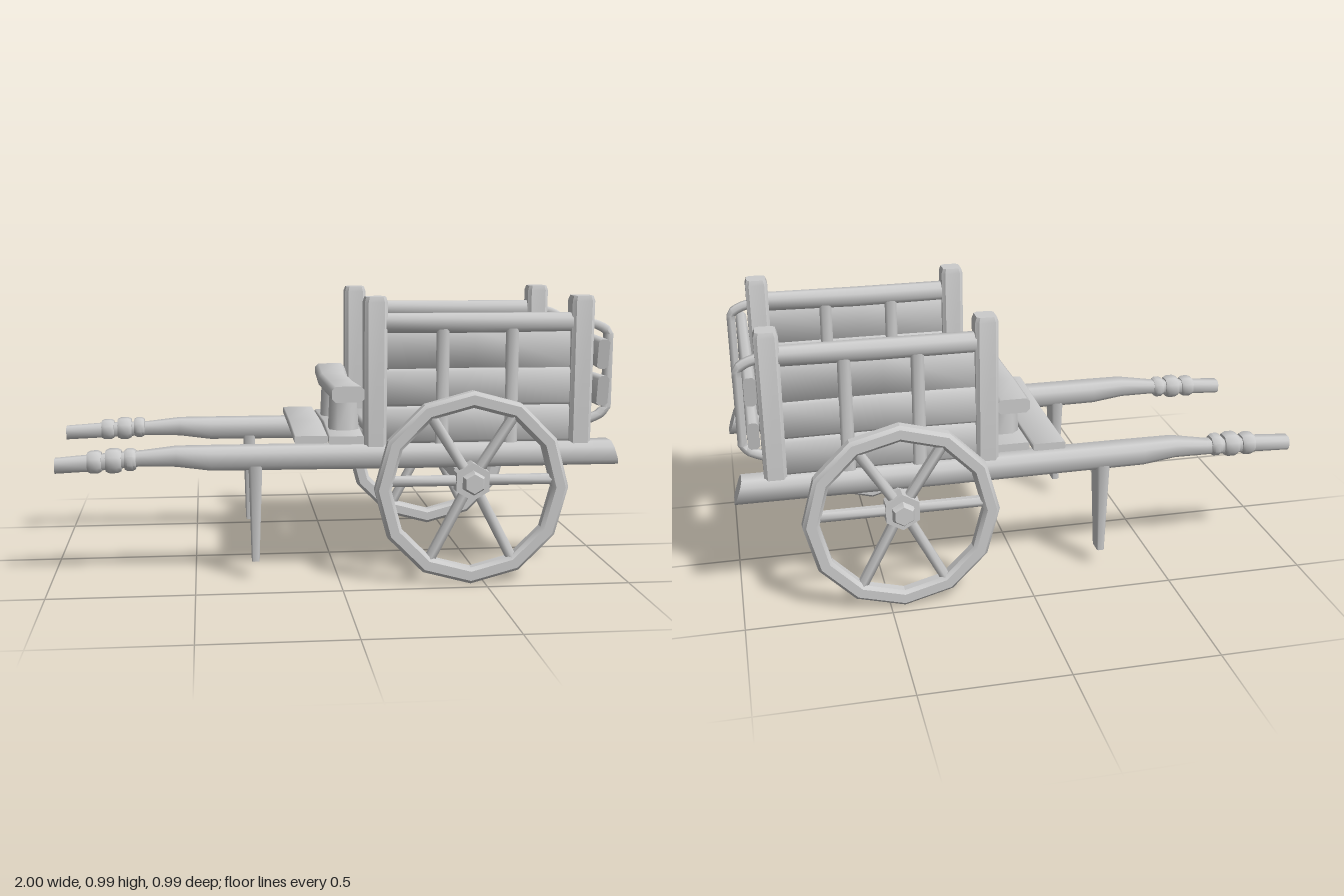
import * as THREE from 'three';
import { toCreasedNormals } from 'three/addons/utils/BufferGeometryUtils.js';

const material = new THREE.MeshStandardMaterial({ color: 0xcccccc, roughness: 0.9 });
const AXES = { x: [0, 1, 2], y: [1, 2, 0], z: [2, 0, 1] };

function add(parent, name, geometry, crease = 0.9) {
  const mesh = new THREE.Mesh(toCreasedNormals(geometry, crease), material);
  mesh.name = name;
  parent.add(mesh);
  return mesh;
}

// Timber with a chamfered section lofted along an axis.
// Station: [t, u, v, halfU, halfV, slant]; (t,u,v) is the cyclic order of the axes.
function timber(axis, stations, chamfer = 0.3) {
  const [T, U, V] = AXES[axis], pos = [], idx = [];
  const k = 1 - chamfer;
  const ring = [[1, -k], [1, k], [k, 1], [-k, 1], [-1, k], [-1, -k], [-k, -1], [k, -1]];
  const n = ring.length, last = (stations.length - 1) * n;
  for (const [t, u, v, hu, hv, slant = 0] of stations) {
    // chamfer is measured on the thinner side
    const m = Math.min(hu, hv) * chamfer;
    for (const [a, b] of ring) {
      const p = [0, 0, 0];
      p[T] = t + slant * a;
      p[U] = u + Math.sign(a) * (Math.abs(a) === 1 ? hu : hu - m);
      p[V] = v + Math.sign(b) * (Math.abs(b) === 1 ? hv : hv - m);
      pos.push(...p);
    }
  }
  for (let i = 0; i < last; i += n) {
    for (let j = 0; j < n; j++) {
      const a = i + j, b = i + (j + 1) % n;
      idx.push(a, b, b + n, a, b + n, a + n);
    }
  }
  for (let j = 1; j < n - 1; j++) {
    idx.push(0, j + 1, j, last, last + j, last + j + 1);
  }
  const g = new THREE.BufferGeometry();
  g.setAttribute('position', new THREE.Float32BufferAttribute(pos, 3));
  g.setIndex(idx);
  return g;
}

// Straight round rod between two points
function rod(a, b, r, sides = 8) {
  const d = b.clone().sub(a);
  const g = new THREE.CylinderGeometry(r, r, d.length(), sides);
  g.applyQuaternion(new THREE.Quaternion().setFromUnitVectors(new THREE.Vector3(0, 1, 0), d.normalize()));
  return g.translate((a.x + b.x) / 2, (a.y + b.y) / 2, (a.z + b.z) / 2);
}

function wheel(s) {
  const g = new THREE.Group();
  g.name = s > 0 ? 'leftWheel' : 'rightWheel';
  const R = 0.337, r = 0.28, h = 0.027, c = 0.012;
  const profile = [[r, -h + c], [r + c, -h], [R - c, -h], [R, -h + c], [R, h - c], [R - c, h], [r + c, h], [r, h - c], [r, -h + c]]
    .map(([x, y]) => new THREE.Vector2(x, y));
  add(g, 'rim', new THREE.LatheGeometry(profile, 12).rotateX(Math.PI / 2), 0.5);
  const hub = new THREE.Vector3(0, 0.027, 0);
  for (let i = 0; i < 6; i++) {
    const a = i * Math.PI / 3;
    const end = new THREE.Vector3(Math.cos(a) * 0.295, Math.sin(a) * 0.295 + (i % 3 ? 0 : 0.027), 0);
    add(g, 'spoke', rod(hub, end, 0.02, 6), 1.2);
  }
  add(g, 'hub', new THREE.CylinderGeometry(0.066, 0.066, 0.056, 6).rotateX(Math.PI / 2).translate(0, 0.025, 0), 0.5);
  g.position.set(0.45, 0.338, s * 0.44);
  return g;
}

// Shaft with handle and grip rings, leg, posts and side wall
function side(s) {
  const g = new THREE.Group();
  g.name = s > 0 ? 'leftSide' : 'rightSide';
  const z = s * 0.312, tip = s > 0 ? -0.975 : -1, hz = s > 0 ? 0.303 : -0.323, hy = s > 0 ? 0.42 : 0.428;

  add(g, 'shaft', timber('x', [
    [tip, hy - 0.005, hz, 0.025, 0.027],
    [-0.85, hy + 0.003, hz, 0.027, 0.029],
    [-0.68, 0.436, hz, 0.025, 0.03],
    [-0.56, 0.443, z, 0.032, 0.043],
    [-0.44, 0.435, z, 0.04, 0.048],
    [0.3, 0.433, z, 0.042, 0.049],
    [0.985, 0.434, z, 0.042, 0.049, -0.014],
  ], 0.45));
  for (const [x, w, r] of [[-0.84, 0.024, 0.037], [-0.775, 0.027, 0.04], [-0.718, 0.02, 0.036]]) {
    const y = hy + 0.006 + (x + 0.84) * 0.05;
    add(g, 'gripRing', timber('x', [
      [x - w, y, hz, r * 0.85, r * 0.95], [x - w / 2, y, hz, r, r * 1.1],
      [x + w / 2, y, hz, r, r * 1.1], [x + w, y, hz, r * 0.85, r * 0.95],
    ], 0.55));
  }
  add(g, 'leg', timber('y', [
    [0.068, s * 0.315, -0.29, 0.03, 0.013], [0.42, s * 0.313, -0.288, 0.046, 0.023],
  ], 0.3));

  // corner posts with bevelled tops
  for (const x of [0.13, 0.857]) {
    add(g, 'cornerPost', timber('y', [
      [0.42, s * 0.308, x, 0.04, 0.038], [0.97, s * 0.308, x, 0.041, 0.04], [0.988, s * 0.308, x, 0.036, 0.034],
    ], 0.3), 0.6);
  }
  add(g, 'topRail', timber('x', [
    [0.13, 0.897, z, 0.033, 0.03], [0.5, 0.895, s * 0.308, 0.034, 0.032], [0.86, 0.897, z, 0.032, 0.03],
  ], 0.55));
  for (const x of [0.365, 0.61]) {
    add(g, 'slat', timber('y', [[0.46, s * 0.31, x, 0.029, 0.024], [0.88, s * 0.31, x, 0.027, 0.022]], 0.4));
  }
  // three wall boards, the upper one thinner
  [[0.54, 0.067, 0.021], [0.672, 0.068, 0.021], [0.802, 0.072, 0.012]].forEach(([y, h, t]) => {
    add(g, 'wallBoard', timber('x', [[0.13, y, s * 0.31, h, t], [0.48, y + 0.002, s * 0.307, h, t], [0.86, y, s * 0.31, h, t]], 0.6), 1.2);
  });

  // bent bracket holding the tail boards
  const path = new THREE.CurvePath();
  const pts = [[0.88, 0.895], [0.925, 0.882], [0.957, 0.862], [0.957, 0.59], [0.93, 0.565], [0.88, 0.545]]
    .map(([x, y]) => new THREE.Vector3(x, y, s * 0.308));
  for (let i = 1; i < pts.length; i++) path.add(new THREE.LineCurve3(pts[i - 1], pts[i]));
  add(g, 'tailBracket', new THREE.TubeGeometry(path, 24, 0.018, 6), 1.1);
  return g;
}

export function createModel() {
  const cart = new THREE.Group();
  cart.name = 'handCart';
  for (const s of [1, -1]) cart.add(side(s), wheel(s));

  // axle
  const axle = [[0, -0.497], [0.034, -0.497], [0.042, -0.485], [0.042, 0.485], [0.034, 0.497], [0, 0.497]]
    .map(([x, y]) => new THREE.Vector2(x, y));
  add(cart, 'axle', new THREE.LatheGeometry(axle, 6).rotateX(Math.PI / 2).translate(0.45, 0.362, 0), 0.7);

  // bed planks across the shafts, slightly uneven
  for (let i = 0; i < 5; i++) {
    const x = 0.195 + i * 0.153, d = ((i * 3) % 5 - 2) * 0.002;
    add(cart, 'bedPlank', timber('z', [
      [-0.3, x + d, 0.492, 0.077, 0.018], [0.05 * (i - 2), x, 0.49 + d, 0.075, 0.02], [0.3, x - d, 0.492, 0.077, 0.018],
    ], 0.5));
  }

  // footboards in front of the box
  add(cart, 'footBoard', timber('z', [
    [-0.335, -0.093, 0.497, 0.058, 0.013], [0, -0.09, 0.495, 0.06, 0.014], [0.34, -0.095, 0.497, 0.058, 0.013],
  ], 0.3));
  add(cart, 'footBoard', timber('z', [
    [-0.3, 0.035, 0.49, 0.064, 0.014], [0, 0.04, 0.492, 0.062, 0.015], [0.325, 0.03, 0.49, 0.062, 0.014],
  ], 0.3));

  // bench on two stumps
  for (const z of [0.153, -0.157]) {
    add(cart, 'benchStump', timber('y', [[0.49, z, 0.037, 0.055, 0.054], [0.63, z, 0.035, 0.047, 0.046]], 0.5));
  }
  add(cart, 'benchSeat', timber('z', [
    [-0.33, 0.035, 0.657, 0.058, 0.026], [-0.1, 0.025, 0.645, 0.055, 0.028],
    [0.12, 0.03, 0.645, 0.054, 0.028], [0.335, 0.035, 0.652, 0.058, 0.028],
  ], 0.5));

  // tail boards with slanted ends
  const tail = [
    [[-0.375, 0.802, 0.052], [-0.2, 0.805, 0.046], [0, 0.806, 0.042], [0.2, 0.795, 0.049], [0.38, 0.788, 0.052]],
    [[-0.36, 0.641, 0.05], [-0.2, 0.648, 0.048], [0, 0.652, 0.049], [0.2, 0.656, 0.051], [0.385, 0.66, 0.053]],
  ];
  for (const rows of tail) {
    const g = timber('z', rows.map(([z, y, h]) => [z, 0.92, y, 0.02, h]), 0.5);
    const p = g.attributes.position, end = rows.length - 1;
    for (let i = 0; i < p.count; i++) {
      const r = Math.floor(i / 8), [, y, h] = rows[r];
      if (r === 0 || r === end) p.setZ(i, p.getZ(i) + (r ? 1 : -1) * 0.009 * (p.getY(i) - y) / h);
    }
    add(cart, 'tailBoard', g);
  }
  return cart;
}
